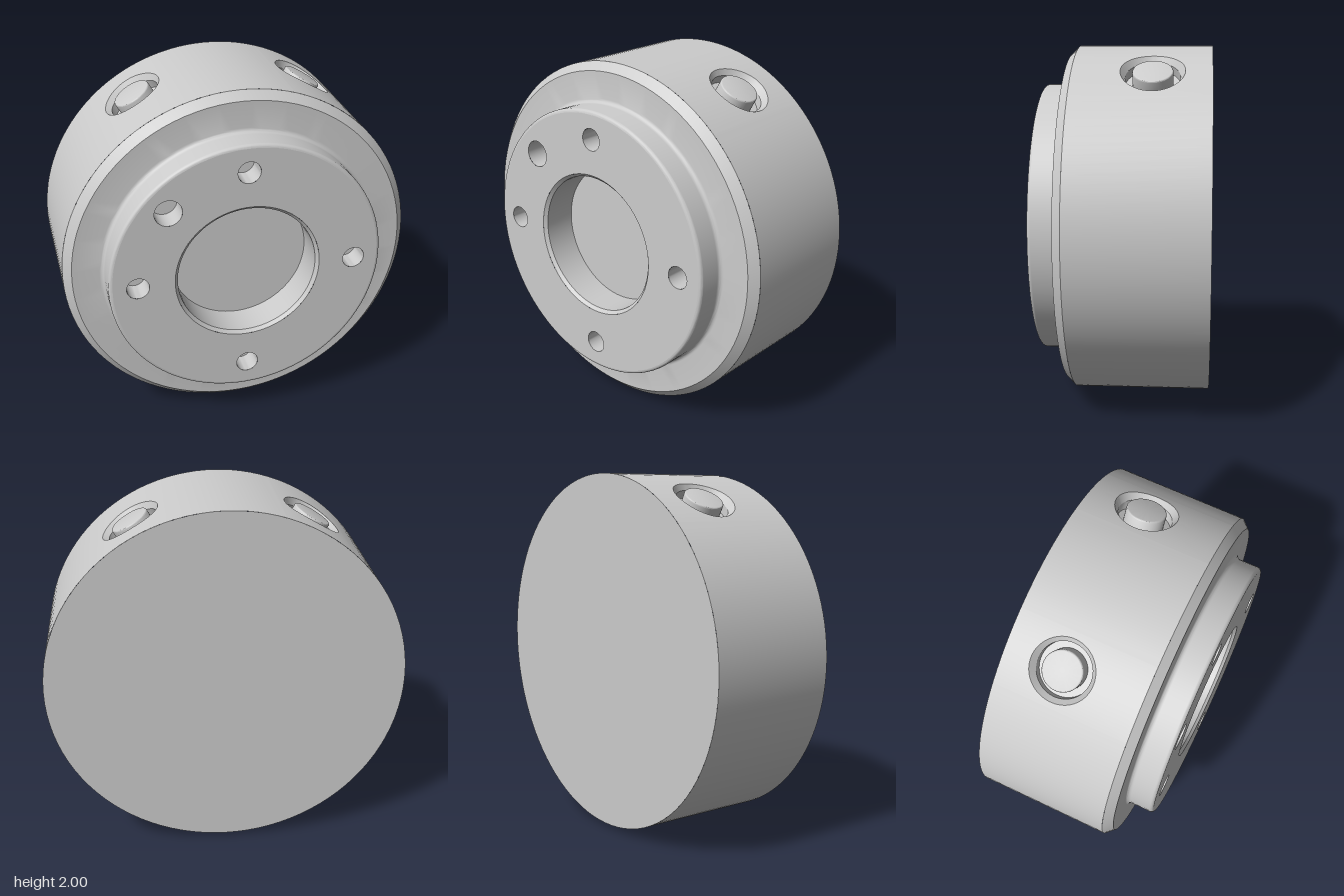
import * as THREE from 'three';
import { toCreasedNormals } from 'three/addons/utils/BufferGeometryUtils.js';

const R = 0.99, CY = 1.01, BACK = -0.475, FRONT = 0.475, SHOULDER = 0.27;
const POCKET_Z = -0.16, HALF_ANGLE = Math.PI / 15;
const material = new THREE.MeshStandardMaterial({ color: 0xcccccc });

function add(parent, name, geometry) {
  const mesh = new THREE.Mesh(geometry, material);
  mesh.name = name;
  parent.add(mesh);
  return mesh;
}

const lathe = (profile, segments = 96, start = 0, length = Math.PI * 2) => toCreasedNormals(
  new THREE.LatheGeometry(profile.map(([r, h]) => new THREE.Vector2(r, h)), segments, start, length), 0.5);

// Lathe whose axis runs along z (angle 0 points down)
const latheZ = (...args) => lathe(...args).rotateX(Math.PI / 2);

// Quarter-circle points for fillets
function arc(cx, cy, r, from, to, steps = 6) {
  return Array.from({ length: steps + 1 }, (_, i) => {
    const a = (from + (to - from) * i / steps) * Math.PI / 180;
    return [cx + r * Math.cos(a), cy + r * Math.sin(a)];
  });
}

// Skin over closed rings ordered from outside to inside
function loft(rings) {
  const n = rings[0].length, index = [];
  for (let i = 0; i < rings.length - 1; i++) {
    for (let j = 0; j < n; j++) {
      const a = i * n + j, b = i * n + (j + 1) % n;
      index.push(a, a + n, b, b, a + n, b + n);
    }
  }
  const g = new THREE.BufferGeometry();
  g.setAttribute('position', new THREE.Float32BufferAttribute(rings.flat(2), 3));
  g.setIndex(index);
  return toCreasedNormals(g, 0.5);
}

// Curved wall panel with a chamfered round pocket; local y points outward
function pocketPanel() {
  const w = R * HALF_ANGLE, lo = BACK - POCKET_Z, hi = SHOULDER - POCKET_Z;
  const angles = Array.from({ length: 72 }, (_, i) => (i + 0.5) / 72 * Math.PI * 2 - Math.PI);
  for (const u of [-w, w]) for (const v of [lo, hi]) angles.push(Math.atan2(v, u));
  angles.sort((a, b) => a - b);

  const rimRadius = 0.172, steps = 6, rings = [];
  for (let s = 0; s <= steps; s++) {
    rings.push(angles.map(a => {
      const c = Math.cos(a), d = Math.sin(a);
      const reach = Math.min(w / Math.abs(c), (d > 0 ? hi : lo) / d);
      const rimU = R * Math.asin(rimRadius * c / R);
      const u = THREE.MathUtils.lerp(reach * c, rimU, s / steps);
      const v = THREE.MathUtils.lerp(reach * d, rimRadius * d, s / steps);
      return [R * Math.sin(u / R), R * Math.cos(u / R), v];
    }));
  }
  // chamfer, wall and floor of the pocket
  for (const [r, y] of [[0.146, R - 0.04], [0.146, R - 0.09], [0, R - 0.09]]) {
    rings.push(angles.map(a => [r * Math.cos(a), y, r * Math.sin(a)]));
  }
  return loft(rings);
}

export function createModel() {
  const model = new THREE.Group();
  const housing = new THREE.Group();
  housing.name = 'housing';
  housing.position.y = CY;
  model.add(housing);

  // Outer wall, leaving gaps for the two pocket panels
  const wall = [[R, BACK], [R, SHOULDER]], deg = Math.PI / 180;
  add(housing, 'outerWall', latheZ(wall, 92, 222 * deg, 276 * deg));
  add(housing, 'outerWallTop', latheZ(wall, 12, 162 * deg, 36 * deg));
  add(housing, 'backPlate', new THREE.CircleGeometry(R, 96).rotateY(Math.PI)).position.z = BACK;

  // Chamfered shoulder and filleted boss
  add(housing, 'shoulderAndBoss', latheZ([
    [R, SHOULDER], [0.945, 0.317], 
    ...arc(0.795, 0.342, 0.025, 270, 180),
    ...arc(0.75, 0.455, 0.02, 0, 90),
  ]));

  // Boss face with the central bore and bolt holes
  const holes = [[0, 0.613, 0.0625], [0, -0.613, 0.0625], [0.613, 0, 0.0625], [-0.613, 0, 0.0625],
    [-0.435, 0.435, 0.075]];
  const face = new THREE.Shape().absarc(0, 0, 0.75, 0, Math.PI * 2);
  for (const [x, y, r] of [[0, 0, 0.41], ...holes]) {
    face.holes.push(new THREE.Path().absarc(x, y, r, 0, Math.PI * 2, true));
  }
  add(housing, 'bossFace', new THREE.ShapeGeometry(face, 96)).position.z = FRONT;
  add(housing, 'centralBore', latheZ([[0.41, FRONT], [0.392, 0.457], [0.392, 0.27], [0, 0.27]]));
  for (const [x, y, r] of holes) {
    add(housing, 'boltHole', latheZ([[r, 0], [r, -0.13], [0, -0.13]], 40)).position.set(x, y, FRONT);
  }

  // Two push buttons in pockets, 30 degrees either side of the top
  for (const side of [-1, 1]) {
    const station = new THREE.Group();
    station.name = side > 0 ? 'leftButton' : 'rightButton';
    station.position.z = POCKET_Z;
    station.rotation.z = -side * Math.PI / 6;
    housing.add(station);
    add(station, 'buttonPocket', pocketPanel());
    add(station, 'buttonCap', lathe([[0.108, R - 0.1], ...arc(0.1, R - 0.01, 0.008, 0, 90, 4), [0, R - 0.002]], 48));
  }

  // Hexagonal socket underneath, built pointing up and turned over
  const socket = new THREE.Group();
  socket.name = 'connector';
  socket.position.set(0, 0, -0.185);
  socket.rotation.x = Math.PI;
  model.add(socket);
  const nut = new THREE.CylinderGeometry(0.118, 0.118, 0.04, 6).rotateY(Math.PI / 2);
  add(socket, 'hexNut', toCreasedNormals(nut, 0.5)).position.y = -0.032;
  add(socket, 'connectorRing', lathe([[0.072, -0.02], [0.072, -0.003], [0.069, 0], [0.055, 0], [0.055, -0.02]], 40));
  for (let i = 0; i < 8; i++) {
    const a = i / 7 * Math.PI * 2, r = i < 7 ? 0.034 : 0;
    add(socket, 'connectorPin', new THREE.CylinderGeometry(0.008, 0.008, 0.014, 12))
      .position.set(r * Math.cos(a), -0.011, r * Math.sin(a));
  }
  return model;
}
